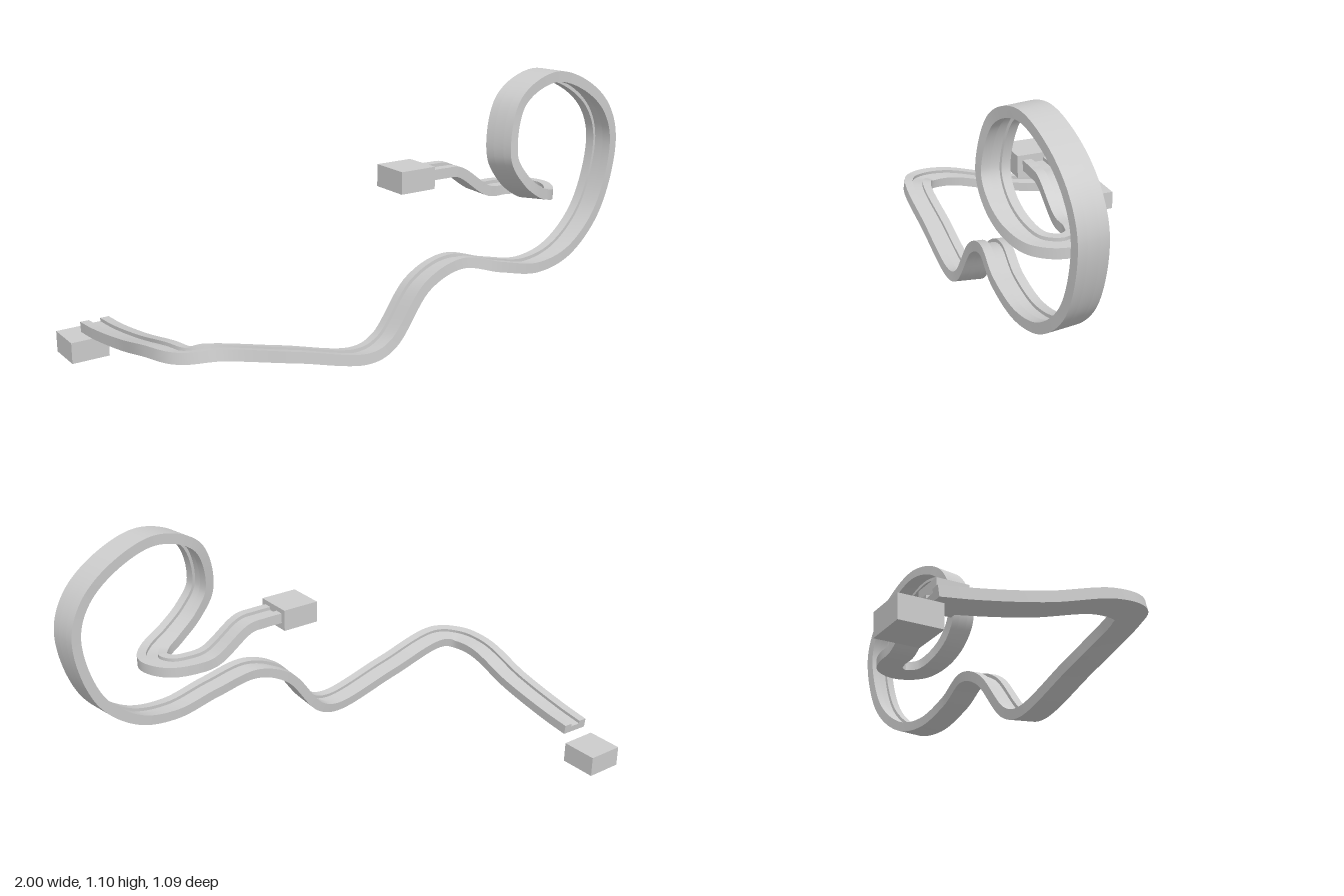
import * as THREE from 'three';

const material = new THREE.MeshStandardMaterial({ color: 0xcccccc, side: THREE.DoubleSide });

// Track centre line
const ROUTE = [
  // ramp and corner
  [-0.902, 0.145, -0.385], [-0.907, 0.16, -0.25], [-0.915, 0.204, 0], [-0.93, 0.265, 0.25],
  [-0.902, 0.277, 0.375], [-0.82, 0.285, 0.424],
  // dip and hill
  [-0.53, 0.213, 0.43], [-0.22, 0.138, 0.429], [-0.12, 0.17, 0.425], [0.04, 0.358, 0.417],
  [0.19, 0.418, 0.425], [0.37, 0.377, 0.445], [0.56, 0.341, 0.438],
  // loop
  [0.74, 0.378, 0.42], [0.9, 0.52, 0.401], [0.972, 0.78, 0.395], [0.92, 0.92, 0.402],
  [0.78, 1.03, 0.415], [0.6, 1.078, 0.434], [0.42, 1, 0.46], [0.367, 0.81, 0.486],
  [0.425, 0.715, 0.486], [0.52, 0.648, 0.466],
  // hairpin and exit
  [0.61, 0.617, 0.425], [0.662, 0.615, 0.345], [0.63, 0.615, 0.272], [0.56, 0.615, 0.248],
  [0.47, 0.622, 0.248], [0.32, 0.716, 0.248], [0.25, 0.722, 0.248], [0.18, 0.722, 0.248],
];

// Direction across the track: route point, heading in degrees, bank
const TURNS = [
  [0, -90, 0], [3, -84, 0.1], [4, -42, 0.2], [5, -6, 0.17], [6, 0, 0.12], [10, 2, 0.08], [13, 8, 0],
  [20, 10, 0], [22, 22, 0], [23, 42, 0], [24, 90, 0], [25, 138, 0], [26, 175, 0], [30, 180, 0],
];

// Grooved cross-section, mirrored from its right half
const W = 0.0575, H = 0.02, G = 0.0225, FLOOR = 0.007;
const HALF = [[G, -H], [W, -H], [W, H], [G, H], [G, FLOOR]];
const PROFILE = [...HALF, ...HALF.map(([s, u]) => [-s, u]).reverse()];
const CAP_QUADS = [[0, 1, 2, 3], [9, 0, 4, 5], [8, 9, 6, 7]];

function crossAxis(at) {
  const n = Math.max(1, TURNS.findIndex(([i]) => i >= at));
  const [i0, h0, b0] = TURNS[n - 1], [i1, h1, b1] = TURNS[n];
  const f = (at - i0) / (i1 - i0);
  const heading = THREE.MathUtils.degToRad(THREE.MathUtils.lerp(h0, h1, f));
  return new THREE.Vector3(Math.sin(heading), THREE.MathUtils.lerp(b0, b1, f), Math.cos(heading));
}

function trackGeometry(stepsPerPoint) {
  const path = new THREE.CatmullRomCurve3(ROUTE.map((p) => new THREE.Vector3(...p)));
  const steps = (ROUTE.length - 1) * stepsPerPoint;

  // One ring of profile points per step
  const rings = [];
  for (let k = 0; k <= steps; k++) {
    const p = path.getPoint(k / steps), dir = path.getTangent(k / steps);
    const up = crossAxis(k / stepsPerPoint).cross(dir).normalize();
    const side = dir.clone().cross(up);
    rings.push(PROFILE.map(([s, u]) => p.clone().addScaledVector(side, s).addScaledVector(up, u)));
  }

  const pos = [], index = [];
  const add = (v) => pos.push(v.x, v.y, v.z) / 3 - 1;

  // A separate strip per profile edge keeps the long edges sharp
  PROFILE.forEach((_, i) => {
    const j = (i + 1) % PROFILE.length;
    const base = pos.length / 3;
    rings.forEach((r) => { add(r[i]); add(r[j]); });
    for (let k = 0; k < steps; k++) {
      const a = base + 2 * k;
      index.push(a, a + 2, a + 1, a + 1, a + 2, a + 3);
    }
  });

  // End caps: right rail, floor, left rail
  CAP_QUADS.forEach((quad) => {
    const [a, b, c, d] = quad.map((n) => add(rings[0][n]));
    const [e, f, g, h] = quad.map((n) => add(rings[steps][n]));
    index.push(a, b, c, a, c, d, e, g, f, e, h, g);
  });

  const geometry = new THREE.BufferGeometry();
  geometry.setAttribute('position', new THREE.Float32BufferAttribute(pos, 3));
  geometry.setIndex(index);
  geometry.computeVertexNormals();
  return geometry;
}

export function createModel() {
  const model = new THREE.Group();
  model.name = 'loopTrack';

  const track = new THREE.Mesh(trackGeometry(12), material);
  track.name = 'track';
  model.add(track);

  // Blocks at the two ends of the track
  const block = new THREE.BoxGeometry(0.153, 0.085, 0.155);
  [['lowerEndBlock', -0.923, 0.0425, -0.469], ['upperEndBlock', 0.104, 0.718, 0.248]].forEach(([name, x, y, z]) => {
    const mesh = new THREE.Mesh(block, material);
    mesh.name = name;
    mesh.position.set(x, y, z);
    model.add(mesh);
  });

  return model;
}
